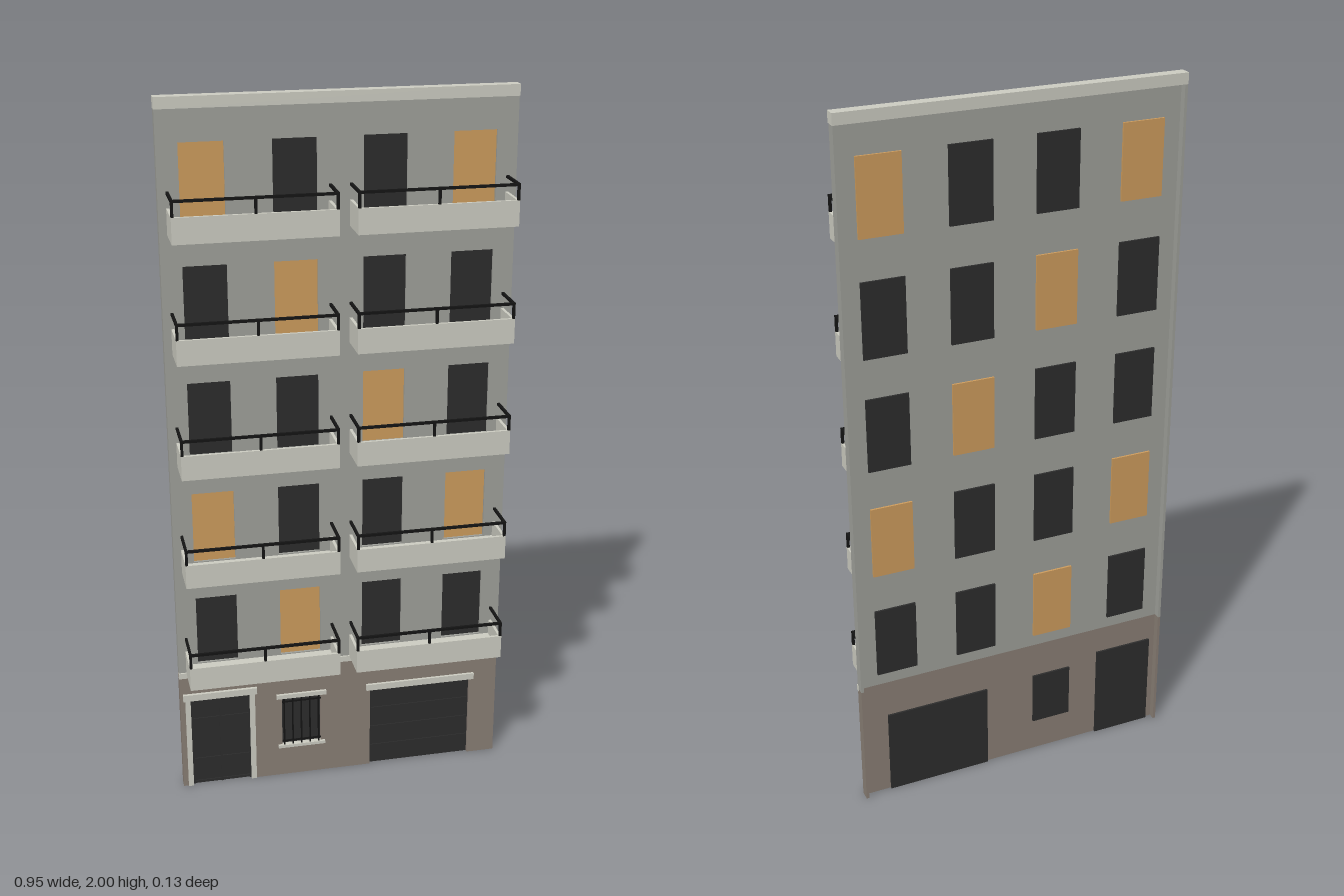
import * as THREE from 'three';

const mat = (name, color) => Object.assign(new THREE.MeshStandardMaterial({ color }), { name });

export function createModel() {
  const wallGrey = mat('wall grey', 0xa1a29c);
  const baseTaupe = mat('base taupe', 0x8b8076);
  const trim = mat('pale concrete', 0xcfcfc4);
  const darkGlass = mat('dark glass', 0x2d2d2d);
  const litGlass = mat('amber shutter', 0xd09e5e);
  const iron = mat('black iron', 0x141414);

  const model = new THREE.Group();
  model.name = 'apartmentFacade';

  // Box given by its extents
  const box = (name, m, x0, x1, y0, y1, z0, z1, parent = model) => {
    const mesh = new THREE.Mesh(new THREE.BoxGeometry(x1 - x0, y1 - y0, z1 - z0), m);
    mesh.position.set((x0 + x1) / 2, (y0 + y1) / 2, (z0 + z1) / 2);
    mesh.name = name;
    parent.add(mesh);
    return mesh;
  };
  const holePath = (x0, x1, y0, y1) => new THREE.Path([
    new THREE.Vector2(x0, y0), new THREE.Vector2(x0, y1),
    new THREE.Vector2(x1, y1), new THREE.Vector2(x1, y0)]);
  const slab = (name, m, shape, z0, z1) => {
    const g = new THREE.ExtrudeGeometry(shape, { depth: z1 - z0, bevelEnabled: false });
    const mesh = new THREE.Mesh(g, m);
    mesh.position.z = z0;
    mesh.name = name;
    model.add(mesh);
  };

  const W = 0.472, BACK = -0.066, FRONT = -0.037, INNER = -0.047;
  const BASE = 0.37, PITCH = 0.3185;
  const columns = [-0.358, -0.119, 0.119, 0.358];
  const lit = ['0100', '1001', '0010', '0100', '1001']; // bottom floor first

  // Upper wall with window openings
  const upper = new THREE.Shape([[-W, BASE], [W, BASE], [W, 1.985], [-W, 1.985]]
    .map(p => new THREE.Vector2(...p)));
  lit.forEach((row, f) => columns.forEach((cx, c) => {
    const y1 = 0.612 + f * PITCH, y0 = y1 - 0.205;
    upper.holes.push(holePath(cx - 0.058, cx + 0.058, y0, y1));
    box('window', row[c] === '1' ? litGlass : darkGlass,
      cx - 0.059, cx + 0.059, y0 - 0.001, y1 + 0.001, -0.053, -0.044);
  }));
  slab('upperWall', wallGrey, upper, INNER, FRONT);

  // Ground floor wall, notched for the entrance and garage
  const ground = new THREE.Shape([
    [-W, 0], [-0.444, 0], [-0.444, 0.288], [-0.27, 0.288], [-0.27, 0],
    [0.087, 0], [0.087, 0.258], [0.39, 0.258], [0.39, 0], [W, 0], [W, BASE], [-W, BASE],
  ].map(p => new THREE.Vector2(...p)));
  ground.holes.push(holePath(-0.177, -0.062, 0.103, 0.262));
  slab('groundWall', baseTaupe, ground, INNER, FRONT);

  // Side returns behind the wall, and the cornice
  for (const s of [-1, 1]) {
    const a = s < 0 ? -W : W - 0.008, b = a + 0.008;
    box('sideReturn', wallGrey, a, b, BASE, 1.97, BACK, INNER);
    box('baseReturn', baseTaupe, a, b, 0, BASE, BACK, INNER);
  }
  box('cornice', trim, -W - 0.001, W + 0.001, 1.97, 2, BACK, -0.034);
  box('stringCourse', trim, -W - 0.001, W + 0.001, 0.362, 0.379, INNER + 0.002, -0.032);

  // Entrance door with surround and raised panels
  box('entranceDoor', darkGlass, -0.445, -0.269, 0, 0.289, -0.053, -0.045);
  for (const x of [-0.36, -0.357 - 0.085, -0.275]) box('doorStile', darkGlass, x, x + 0.006, 0, 0.288, -0.045, -0.042);
  for (const y of [0.004, 0.08, 0.215, 0.28]) box('doorRail', darkGlass, -0.444, -0.27, y, y + 0.006, -0.045, -0.042);
  box('doorJamb', trim, -0.458, -0.443, 0, 0.29, -0.045, -0.033);
  box('doorJamb', trim, -0.271, -0.256, 0, 0.29, -0.045, -0.033);
  box('doorLintel', trim, -0.464, -0.25, 0.288, 0.308, -0.045, -0.028);

  // Barred ground floor window
  box('groundWindow', darkGlass, -0.178, -0.061, 0.102, 0.263, -0.053, -0.045);
  for (let i = 0; i < 5; i++) {
    const x = -0.171 + i * 0.0255;
    box('windowBar', iron, x - 0.002, x + 0.002, 0.103, 0.262, -0.036, -0.032);
  }
  for (const y of [0.115, 0.247]) box('barTie', iron, -0.177, -0.062, y, y + 0.004, -0.036, -0.032);
  box('windowLintel', trim, -0.193, -0.046, 0.261, 0.274, -0.045, -0.029);
  box('windowSill', trim, -0.189, -0.05, 0.095, 0.104, -0.045, -0.029);

  // Garage door in horizontal panels
  box('garageDoor', darkGlass, 0.086, 0.391, 0, 0.259, -0.053, -0.046);
  for (let i = 0; i < 4; i++)
    box('garagePanel', darkGlass, 0.09, 0.387, i * 0.064 + 0.002, i * 0.064 + 0.062, -0.046, -0.043);
  box('garageLintel', trim, 0.075, 0.402, 0.257, 0.276, -0.045, -0.029);

  // Balconies: floor, parapet on three sides, iron handrail on posts
  for (let f = 0; f < 5; f++) {
    for (const s of [-1, 1]) {
      const b = new THREE.Group();
      b.name = 'balcony';
      b.position.set(s * 0.2375, 0.378 + f * PITCH, 0);
      model.add(b);
      const h = 0.2135, z0 = FRONT, z1 = 0.065, t = 0.008, top = 0.069;
      box('balconyFloor', trim, -h, h, 0, 0.026, z0, z1, b);
      box('frontParapet', trim, -h, h, 0.026, top, z1 - t, z1, b);
      box('handrail', iron, -h, h, 0.106, 0.113, z1 - 0.007, z1, b);
      for (const e of [-1, 1]) {
        const a = e < 0 ? -h : h - t, r = e < 0 ? -h : h - 0.007;
        box('sideParapet', trim, a, a + t, 0.026, top, z0, z1 - t, b);
        box('sideHandrail', iron, r, r + 0.007, 0.106, 0.113, z0, z1 - 0.007, b);
      }
      for (const x of [-h + 0.0035, 0, h - 0.0035])
        box('railPost', iron, x - 0.0035, x + 0.0035, top, 0.106, z1 - 0.007, z1, b);
    }
  }
  return model;
}
